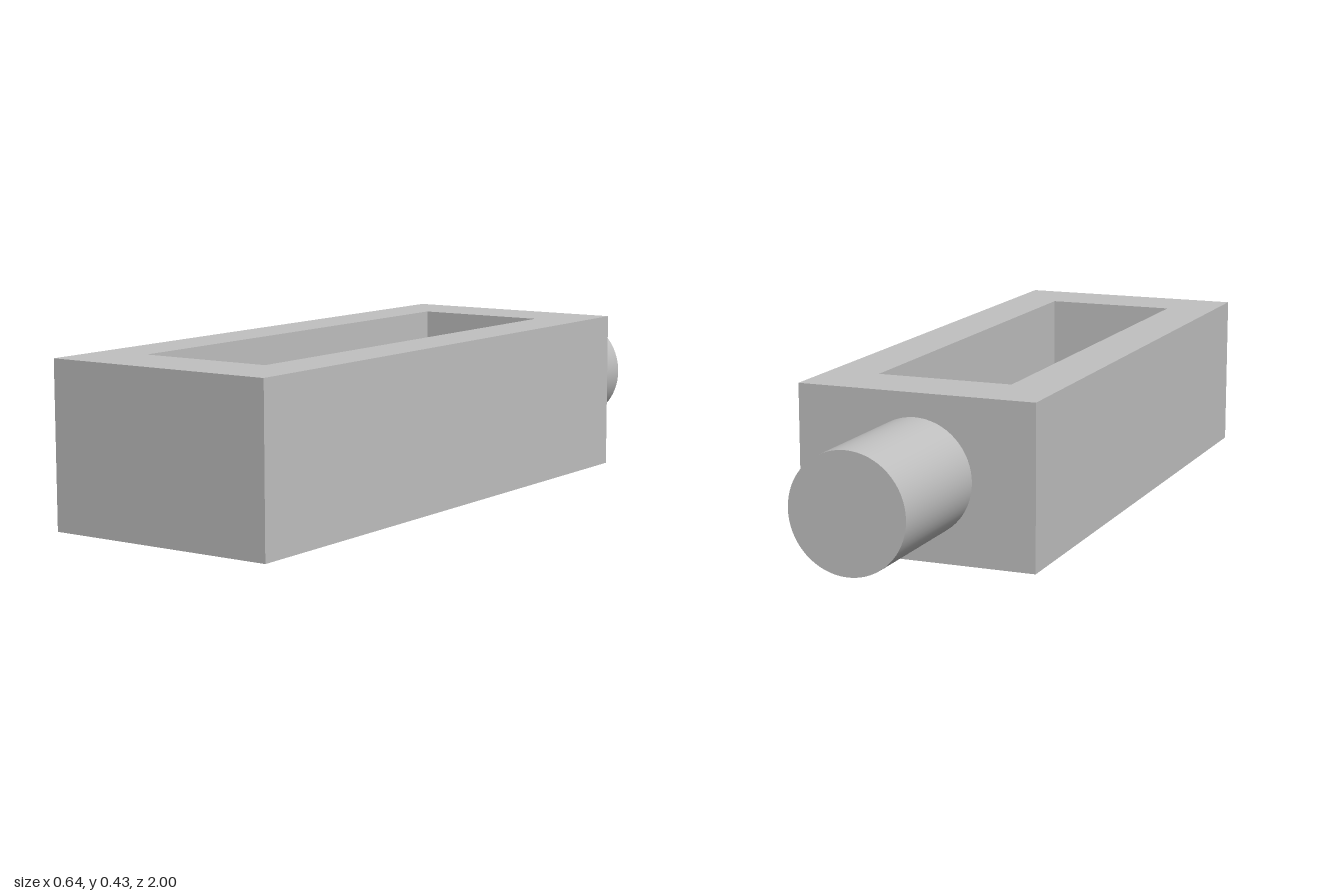
import * as THREE from 'three';

// Corner points of a rectangle in plan (x, -z)
const rectPoints = (halfWidth, zBack, zFront) => [
  new THREE.Vector2(-halfWidth, -zFront),
  new THREE.Vector2(halfWidth, -zFront),
  new THREE.Vector2(halfWidth, -zBack),
  new THREE.Vector2(-halfWidth, -zBack),
];

export function createModel() {
  const group = new THREE.Group();
  const grey = new THREE.MeshStandardMaterial({ color: 0xc0c0c0 });
  grey.name = 'plain grey';

  const height = 0.428;
  const backZ = -0.618;

  // Block with a rectangular slot cut right through it
  const plan = new THREE.Shape(rectPoints(0.32, backZ, 1));
  plan.holes.push(new THREE.Path(rectPoints(0.183, -0.437, 0.817).reverse()));
  const frameGeometry = new THREE.ExtrudeGeometry(plan, { depth: height, bevelEnabled: false });
  frameGeometry.rotateX(-Math.PI / 2);
  const frame = new THREE.Mesh(frameGeometry, grey);
  frame.name = 'slottedFrame';
  group.add(frame);

  // Round pin on the back face
  const pinLength = backZ + 1;
  const pinGeometry = new THREE.CylinderGeometry(0.152, 0.152, pinLength, 64);
  pinGeometry.rotateX(Math.PI / 2);
  const pin = new THREE.Mesh(pinGeometry, grey);
  pin.name = 'backPin';
  pin.position.set(0, height / 2, -1 + pinLength / 2);
  group.add(pin);

  return group;
}
